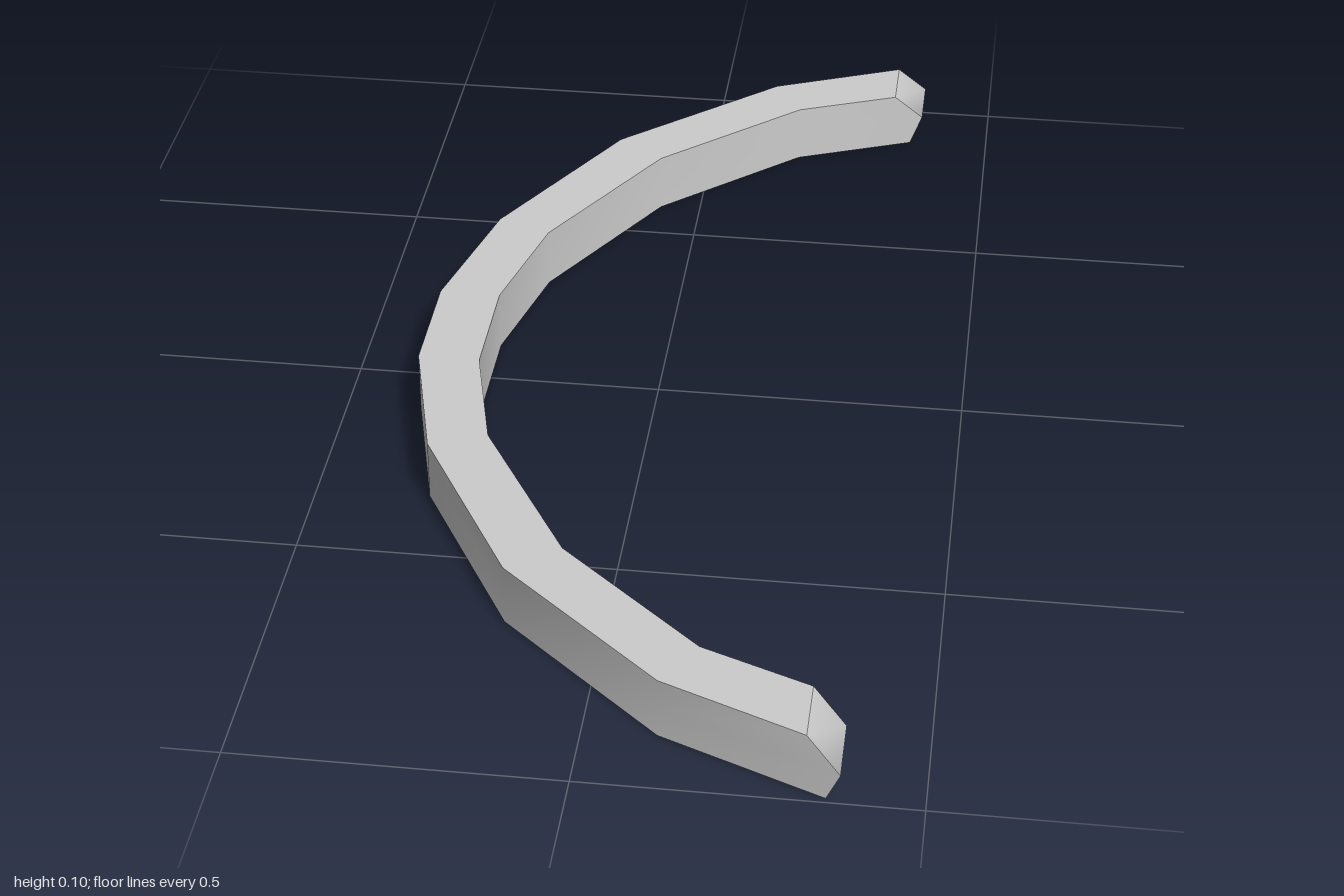
import * as THREE from 'three';

// Half plan of the curved bar as [x, z], from the middle to the tip
const OUTER = [[-0.38, 0.1], [-0.32, 0.345], [-0.15, 0.65], [0.11, 0.885], [0.38, 1.0]];
const INNER = [[-0.28, 0.1], [-0.23, 0.31], [-0.07, 0.59], [0.16, 0.8], [0.38, 0.89]];

// Pointed tip: how far each height reaches in x
const LEVELS = [[0, 0.36], [0.05, 0.38], [0.1, 0.33]];

// Full path at one level, from the left tip (+z) round to the right tip (-z)
function path(half, [y, tipX]) {
  const pts = half.map((p) => [...p]);
  const [a, b] = pts.slice(-2);
  const t = (tipX - a[0]) / (b[0] - a[0]);
  pts[pts.length - 1] = [tipX, a[1] + (b[1] - a[1]) * t];
  const side = (s) => pts.map(([x, z]) => new THREE.Vector3(x, y, z * s));
  return [...side(1).reverse(), ...side(-1)];
}

// Smooth surface through rows of points; separate patches keep the edges sharp
function patch(name, rows, material) {
  const n = rows[0].length;
  const index = [];
  for (let j = 0; j < rows.length - 1; j++) {
    for (let i = 0; i < n - 1; i++) {
      const a = j * n + i, b = a + 1, c = a + n, d = c + 1;
      index.push(a, b, d, a, d, c);
    }
  }
  const geometry = new THREE.BufferGeometry().setFromPoints(rows.flat());
  geometry.setIndex(index);
  geometry.computeVertexNormals();
  const mesh = new THREE.Mesh(geometry, material);
  mesh.name = name;
  return mesh;
}

export function createModel() {
  const grey = new THREE.MeshStandardMaterial({ color: 0xcccccc });
  grey.name = 'light grey';

  const inner = LEVELS.map((l) => path(INNER, l));
  const outer = LEVELS.map((l) => path(OUTER, l));
  const last = inner[0].length - 1;
  const column = (paths, i) => paths.map((p) => p[i]);

  const group = new THREE.Group();
  group.name = 'curvedBar';
  group.add(
    // Long faces
    patch('innerWall', inner, grey),
    patch('topFace', [inner[2], outer[2]], grey),
    patch('outerWall', [...outer].reverse(), grey),
    patch('bottomFace', [outer[0], inner[0]], grey),
    // Pointed tips
    patch('leftTip', [column(inner, 0), column(outer, 0)], grey),
    patch('rightTip', [column(outer, last), column(inner, last)], grey),
  );
  return group;
}
